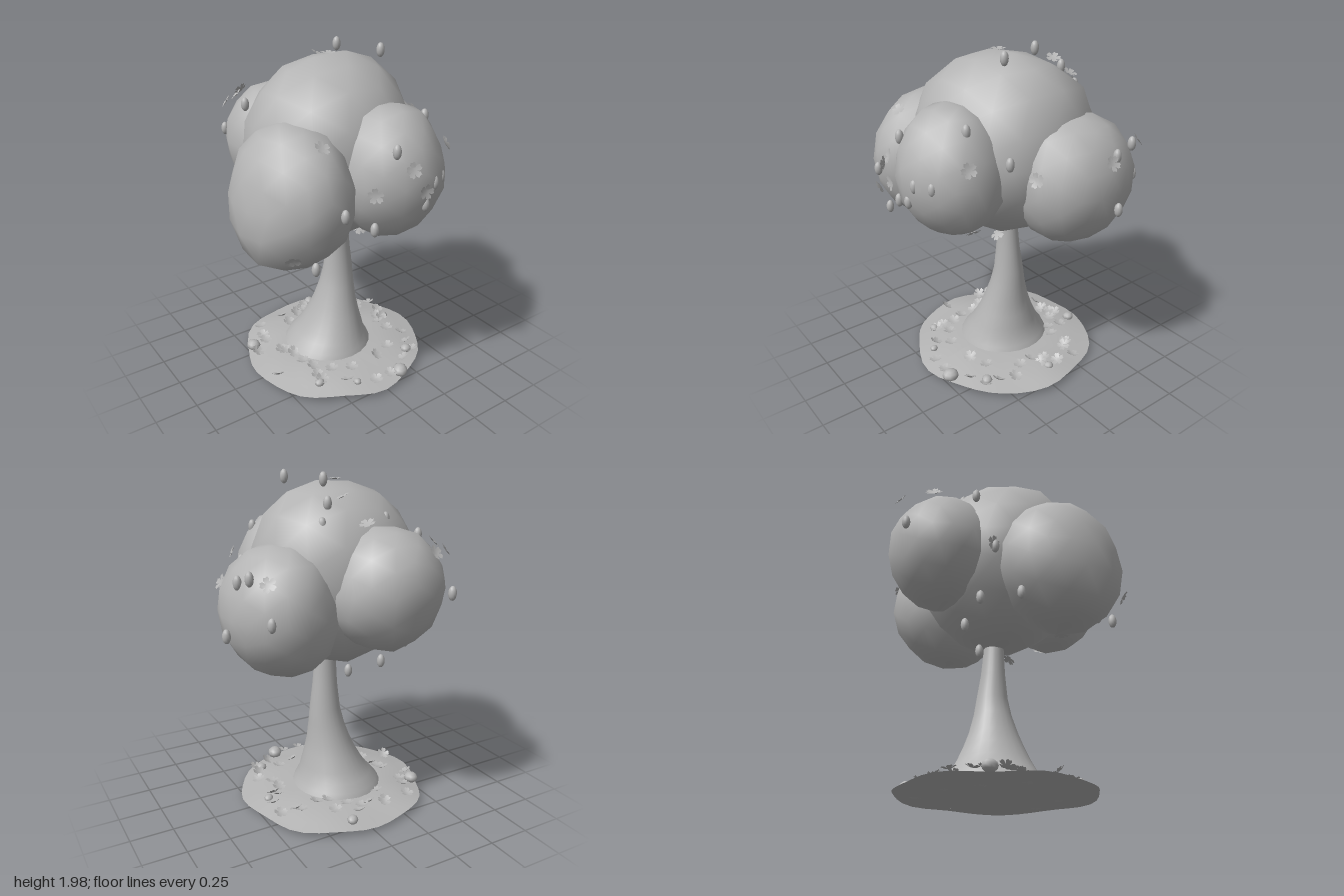
import * as THREE from 'three';
import { mergeVertices } from 'three/addons/utils/BufferGeometryUtils.js';

const clay = new THREE.MeshStandardMaterial({ color: 0xb4b4b4, side: THREE.DoubleSide });
clay.name = 'plain grey';

let seed = 7;
const rand = () => {
  seed = (seed * 16807) % 2147483647;
  return seed / 2147483647;
};

function addMesh(parent, name, geometry) {
  const mesh = new THREE.Mesh(geometry, clay);
  mesh.name = name;
  parent.add(mesh);
  return mesh;
}

// Lumpy rounded mass fitted to the box min..max; bumps are [x, y, z, amount]
function leafMass(min, max, phase, lump, bumps) {
  let g = new THREE.IcosahedronGeometry(1, 2);
  g.deleteAttribute('normal');
  g.deleteAttribute('uv');
  g = mergeVertices(g, 1e-4);
  const p = g.attributes.position;
  const v = new THREE.Vector3();
  const d = new THREE.Vector3();
  for (let i = 0; i < p.count; i++) {
    v.fromBufferAttribute(p, i).normalize();
    let r = 1 + lump * Math.sin(3.1 * v.x + phase) * Math.cos(3.7 * v.y - phase)
      + 0.02 * Math.sin(6.3 * v.z + 2 * phase + 5 * v.x) * Math.cos(5 * v.y + phase);
    for (const [x, y, z, amount] of bumps) {
      r += amount * Math.exp((v.dot(d.set(x, y, z).normalize()) - 1) * 9);
    }
    v.multiplyScalar(r);
    p.setXYZ(i, v.x, v.y, v.z);
  }
  g.computeBoundingBox();
  const size = g.boundingBox.getSize(new THREE.Vector3());
  const mid = g.boundingBox.getCenter(new THREE.Vector3());
  g.translate(-mid.x, -mid.y, -mid.z);
  g.scale(...[0, 1, 2].map(i => (max[i] - min[i]) / size.getComponent(i)));
  g.translate(...[0, 1, 2].map(i => (max[i] + min[i]) / 2));
  g.computeVertexNormals();
  return g;
}

// Smooth tube built from rings [y, centreX, centreZ, radiusX, radiusZ]
function trunkGeometry(rings, sides) {
  const pos = [];
  const index = [];
  rings.forEach(([y, cx, cz, rx, rz], j) => {
    for (let i = 0; i < sides; i++) {
      const a = (i / sides) * Math.PI * 2;
      pos.push(cx + rx * Math.cos(a), y, cz + rz * Math.sin(a));
      if (j === 0) continue;
      const k = (i + 1) % sides;
      const b = (j - 1) * sides;
      const t = j * sides;
      index.push(b + i, t + i, b + k, b + k, t + i, t + k);
    }
  });
  const g = new THREE.BufferGeometry();
  g.setAttribute('position', new THREE.Float32BufferAttribute(pos, 3));
  g.setIndex(index);
  g.computeVertexNormals();
  return g;
}

// Round sheet with a wavy rim
function groundSheet(profile) {
  const g = new THREE.LatheGeometry(profile.map(q => new THREE.Vector2(...q)), 40);
  const p = g.attributes.position;
  for (let i = 0; i < p.count; i++) {
    const a = Math.atan2(p.getZ(i), p.getX(i));
    const r = Math.hypot(p.getX(i), p.getZ(i));
    const k = 1 + 0.014 * Math.sin(5 * a) + 0.012 * Math.sin(8 * a + 1);
    const lift = r > 0.4 ? 0.006 * Math.sin(6 * a + 2) : 0;
    p.setXYZ(i, p.getX(i) * k - 0.02, p.getY(i) + lift, p.getZ(i) * k - 0.03);
  }
  g.computeVertexNormals();
  return g;
}

// Five-petalled blossom, flat in xy with gently cupped petals
function blossomGeometry(radius, cup) {
  const s = new THREE.Shape();
  const at = (r, a) => [Math.cos(a) * r * radius, Math.sin(a) * r * radius];
  s.moveTo(...at(0.4, -Math.PI / 5));
  for (let i = 0; i < 5; i++) {
    const a = (i * Math.PI * 2) / 5;
    s.lineTo(...at(0.78, a - 0.5));
    s.lineTo(...at(1, a - 0.24));
    s.lineTo(...at(0.88, a));
    s.lineTo(...at(1, a + 0.24));
    s.lineTo(...at(0.78, a + 0.5));
    s.lineTo(...at(0.4, a + Math.PI / 5));
  }
  const g = new THREE.ShapeGeometry(s);
  const p = g.attributes.position;
  for (let i = 0; i < p.count; i++) p.setZ(i, Math.hypot(p.getX(i), p.getY(i)) * cup);
  g.computeVertexNormals();
  return g;
}

export function createModel() {
  seed = 7;
  const tree = new THREE.Group();
  tree.name = 'tree';

  // Ground mound: sloping top and shallow underside meeting at a thin rim
  addMesh(tree, 'groundTop', groundSheet([[0.56, 0.048], [0.48, 0.066], [0.4, 0.084], [0.3, 0.096], [0.2, 0.1]]));
  addMesh(tree, 'groundUnderside', groundSheet([[0.001, 0.02], [0.27, 0.022], [0.285, 0.036], [0.45, 0.036], [0.56, 0.048]]));

  // Flared trunk
  addMesh(tree, 'trunk', trunkGeometry([
    [0.08, -0.045, -0.055, 0.28, 0.285], [0.125, -0.043, -0.055, 0.253, 0.265],
    [0.17, -0.035, -0.05, 0.22, 0.235], [0.23, -0.02, -0.045, 0.19, 0.205],
    [0.31, -0.008, -0.042, 0.158, 0.17], [0.39, 0.003, -0.04, 0.132, 0.14],
    [0.5, 0.018, -0.04, 0.108, 0.108], [0.6, 0.027, -0.04, 0.092, 0.09],
    [0.75, 0.025, -0.036, 0.076, 0.07], [0.9, 0.021, -0.034, 0.066, 0.059],
    [1.05, 0.02, -0.034, 0.06, 0.055]], 24));

  // Foliage masses
  const foliage = [
    ['mainFoliage', [-0.54, 0.9, -0.51], [0.46, 1.945, 0.45], 0.4, 0.01,
      [[0.62, 0.78, 0, 0.07], [0.9, 0.4, 0.15, -0.05], [0.62, 0.45, -0.65, 0.13], [-0.68, 0.4, 0.6, 0.1], [-0.8, 0.5, 0, 0.03]]],
    ['rightFoliage', [-0.745, 0.89, -0.21], [-0.12, 1.68, 0.57], 1.3, 0.03,
      [[-0.7, -0.68, 0.1, 0.16], [0.35, 0.9, 0.2, 0.06], [0.6, -0.6, 0.5, 0.05], [-0.7, 0.1, 0.7, -0.06]]],
    ['frontFoliage', [-0.245, 1.0, 0.06], [0.38, 1.735, 0.69], 2.2, 0.03,
      [[-0.1, -0.1, 1, 0.08], [-0.5, 0.8, 0.2, 0.05], [0.6, 0.75, 0.2, 0.07], [0.75, -0.55, 0.2, 0.05]]],
    ['leftFoliage', [0.08, 0.92, -0.55], [0.7, 1.65, 0.15], 3.4, 0.03,
      [[0.3, 0.75, 0.65, 0.1], [0.3, 0.7, -0.65, 0.09], [0.75, 0, 0.65, 0.08], [0.2, -0.75, 0.5, 0.05]]],
    ['backFoliage', [-0.46, 1.05, -0.735], [0.2, 1.73, -0.1], 4.6, 0.03,
      [[0.2, 0.2, -1, 0.04], [0, -0.65, -0.75, 0.05], [-0.75, 0.3, -0.5, 0.04]]],
  ].map(([name, min, max, ...form]) => {
    const mesh = addMesh(tree, name, leafMass(min, max, ...form));
    return { mesh, centre: new THREE.Box3(new THREE.Vector3(...min), new THREE.Vector3(...max)).getCenter(new THREE.Vector3()) };
  });

  // Small oval buds
  const budShape = new THREE.SphereGeometry(1, 12, 8).scale(0.023, 0.04, 0.023);
  const buds = [
    [0.195, 1.96, 0.125], [0.1, 1.96, -0.155], [-0.07, 1.57, 0.61], [0.27, 1.65, 0.42],
    [0.415, 1.48, 0.255], [0.145, 1.375, 0.66], [0.235, 1.375, 0.61], [0.085, 1.27, 0.665],
    [-0.37, 1.29, 0.595], [-0.175, 1.16, 0.58], [-0.475, 0.98, 0.485], [-0.065, 0.85, -0.16],
    [0.715, 1.2, -0.24], [0.655, 1.48, -0.265], [0.64, 1.52, -0.385], [0.57, 1.3, -0.485],
    [0.155, 1.85, -0.3], [0.215, 1.75, -0.35], [-0.19, 1.75, -0.325], [-0.36, 1.4, -0.71],
    [-0.41, 1.65, -0.325], [-0.49, 1.29, -0.24], [-0.2, 0.93, -0.3], [-0.52, 1.02, -0.1], [-0.38, 1.02, -0.28]];
  for (const b of buds) addMesh(tree, 'bud', budShape).position.set(...b);

  // Blossoms facing out of the nearest foliage mass, lifted clear of its surface
  const blossomShape = blossomGeometry(0.044, 0.25);
  const blossoms = [
    [-0.395, 1.58, 0.41], [-0.21, 1.38, 0.63], [-0.03, 1.49, 0.69], [0.03, 1.375, 0.72],
    [-0.6, 1.07, 0.47], [0.37, 1.49, 0.48], [0.51, 1.4, 0.15], [0.28, 1.1, 0.4],
    [0.7, 1.47, -0.18], [0.58, 1.5, -0.48], [-0.23, 1.62, -0.71], [-0.395, 1.6, -0.575],
    [-0.34, 1.64, -0.545], [0.025, 1.75, -0.485], [0.07, 1.87, -0.315], [-0.05, 1.93, -0.02],
    [-0.39, 0.89, 0.2], [0.09, 0.91, 0.1], [-0.49, 1.3, -0.26]];
  const meshes = foliage.map(f => f.mesh);
  for (const b of blossoms) {
    const pos = new THREE.Vector3(...b);
    const { centre } = foliage.reduce((a, f) => (pos.distanceTo(f.centre) < pos.distanceTo(a.centre) ? f : a));
    const out = pos.clone().sub(centre).normalize();
    const start = pos.clone().addScaledVector(out, 0.2);
    const hit = new THREE.Raycaster(start, out.clone().negate()).intersectObjects(meshes)[0];
    if (hit && hit.distance < 0.2) pos.copy(hit.point);
    const mesh = addMesh(tree, 'blossom', blossomShape);
    mesh.position.copy(pos).addScaledVector(out, 0.006);
    mesh.lookAt(pos.clone().add(out));
    mesh.rotateZ(rand() * 6);
  }

  // Crumpled fallen blossoms scattered over the ground
  const fallen = blossomGeometry(0.042, 0.45).rotateX(-Math.PI / 2);
  for (let i = 0; i < 40; i++) {
    const a = i * 2.4;
    const r = 0.29 + 0.23 * rand();
    const mesh = addMesh(tree, 'fallenBlossom', fallen);
    mesh.position.set(-0.02 + r * Math.cos(a), 0.14 - 0.13 * r, -0.03 + r * Math.sin(a));
    mesh.rotation.set((rand() - 0.5) * 0.8, rand() * 6, (rand() - 0.5) * 0.8);
  }

  // Petals peeking out under the rim
  for (let i = 0; i < 10; i++) {
    const a = i * 0.7 + 0.3;
    const r = 0.2 + 0.3 * rand();
    const mesh = addMesh(tree, 'lowPetal', fallen);
    mesh.position.set(-0.02 + r * Math.cos(a), 0.01 + 0.04 * r, -0.03 + r * Math.sin(a));
    mesh.rotation.set((rand() - 0.5) * 0.4, rand() * 6, 0);
  }

  // Pebbles
  const pebble = new THREE.SphereGeometry(1, 9, 6);
  const stones = [[0.13, 0.48, 0.05], [-0.48, -0.26, 0.045], [0.3, 0.33, 0.035], [-0.34, 0.3, 0.03],
    [0.42, -0.05, 0.03], [0.1, -0.5, 0.035], [-0.15, 0.42, 0.025]];
  for (const [x, z, r] of stones) {
    const mesh = addMesh(tree, 'pebble', pebble);
    mesh.position.set(x, 0.08, z);
    mesh.scale.set(r, r * 0.75, r * 0.9);
    mesh.rotation.y = x * 9;
  }
  return tree;
}
